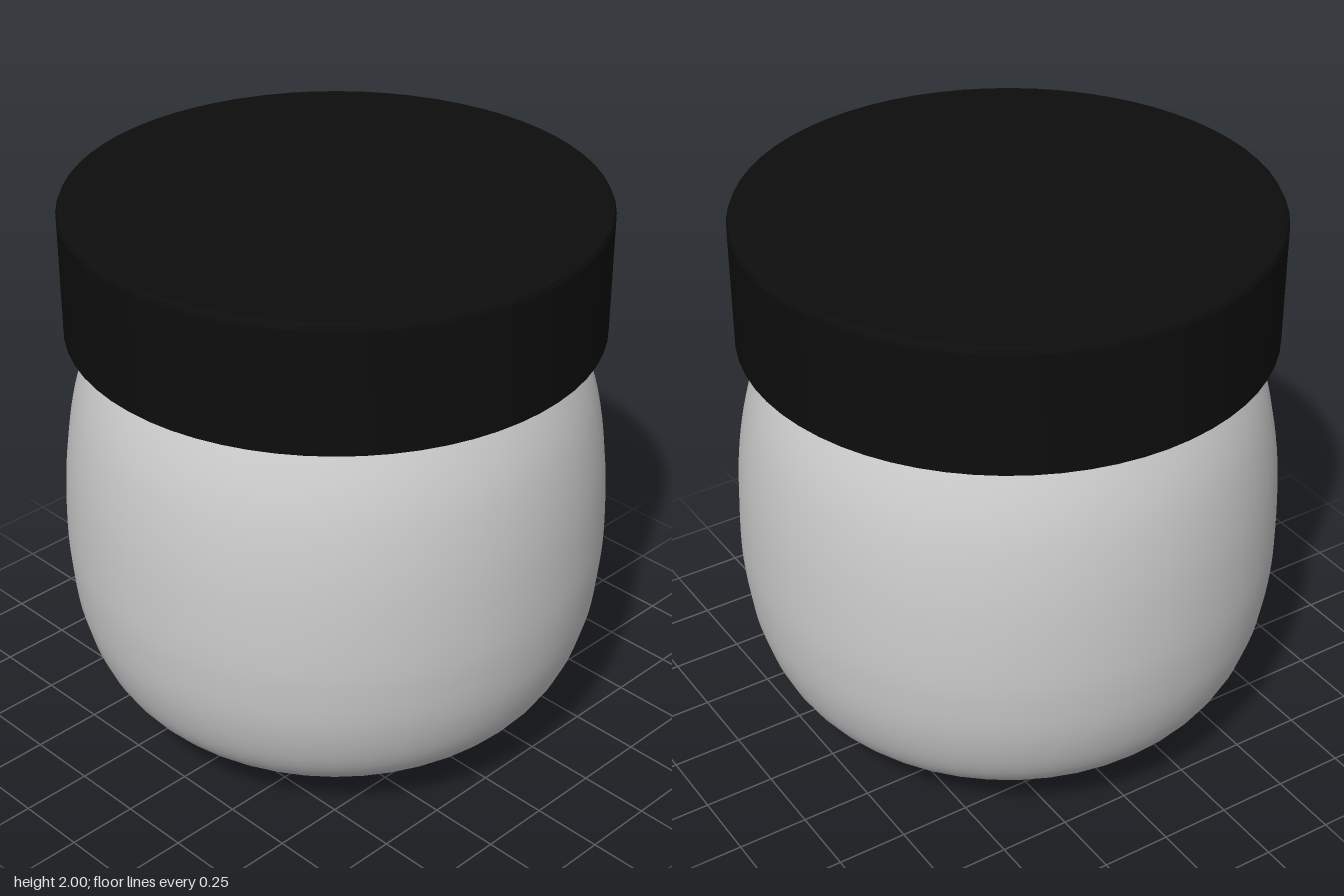
import * as THREE from 'three';
import { toCreasedNormals } from 'three/addons/utils/BufferGeometryUtils.js';

const points = (list) => list.map(([r, y]) => new THREE.Vector2(r, y));

export function createModel() {
  const model = new THREE.Group();

  // Rounded jar body, a smooth turned profile tucked up inside the lid
  const profile = new THREE.SplineCurve(points([
    [0, 0], [0.2, 0.008], [0.4, 0.036], [0.6, 0.095], [0.75, 0.18], [0.85, 0.3],
    [0.913, 0.47], [0.94, 0.65], [0.946, 0.82], [0.935, 1.05], [0.905, 1.25],
    [0.862, 1.4], [0.795, 1.55], [0.74, 1.64],
  ])).getPoints(52);
  profile[0].set(0, 0);
  const jar = new THREE.Mesh(
    new THREE.LatheGeometry(profile, 48),
    new THREE.MeshStandardMaterial({ color: 0xcccccc, side: THREE.DoubleSide }),
  );
  jar.name = 'jarBody';

  // Wide flat lid with a small bevel around the top edge
  const lidProfile = points([
    [0, 1.55], [0.91, 1.55], [0.915, 1.555], [0.915, 1.98],
    [0.909, 1.994], [0.895, 2], [0, 2],
  ]);
  const lid = new THREE.Mesh(
    toCreasedNormals(new THREE.LatheGeometry(lidProfile, 64), 0.4),
    new THREE.MeshStandardMaterial({ color: 0x0d0d0d }),
  );
  lid.name = 'lid';

  model.add(jar, lid);
  return model;
}
